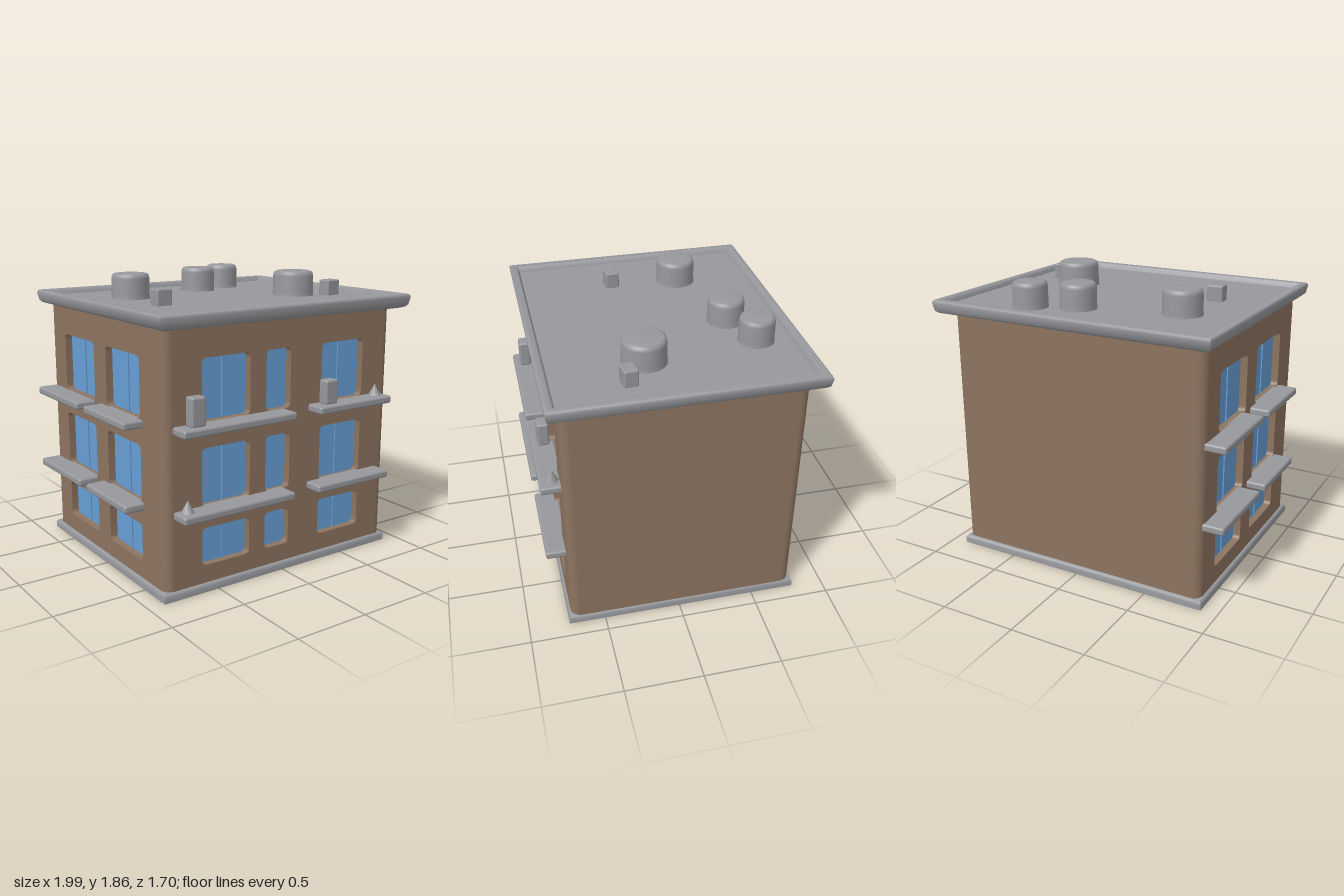
import * as THREE from 'three';
import { toCreasedNormals } from 'three/addons/utils/BufferGeometryUtils.js';
import { RoundedBoxGeometry } from 'three/addons/geometries/RoundedBoxGeometry.js';

const material = (name, color) => {
  const m = new THREE.MeshStandardMaterial({ color });
  m.name = name;
  return m;
};

// Window openings [start, end] along each wall, and the floors they repeat on
const FLOORS = [[0.17, 0.41], [0.55, 0.91], [1.07, 1.45]];
const FRONT_COLUMNS = [[-0.61, -0.26], [-0.14, 0.05], [0.3, 0.65]];
const SIDE_COLUMNS = [[-0.55, -0.13], [0.03, 0.45]];
const WALL = { x0: -0.81, x1: 0.83, z0: -0.71, z1: 0.66, y0: 0.03, y1: 1.66, t: 0.06 };

function roundedRect(path, x0, x1, y0, y1, r) {
  path.moveTo(x0 + r, y0);
  path.lineTo(x1 - r, y0);
  path.quadraticCurveTo(x1, y0, x1, y0 + r);
  path.lineTo(x1, y1 - r);
  path.quadraticCurveTo(x1, y1, x1 - r, y1);
  path.lineTo(x0 + r, y1);
  path.quadraticCurveTo(x0, y1, x0, y1 - r);
  path.lineTo(x0, y0 + r);
  path.quadraticCurveTo(x0, y0, x0 + r, y0);
  return path;
}

// Solid rectangular moulding swept through a profile of [inset, y], closed at both ends
function moulding(x0, x1, z0, z1, profile) {
  const pos = [];
  const ring = ([i, y]) => [
    [x0 + i, y, z1 - i], [x1 - i, y, z1 - i], [x1 - i, y, z0 + i], [x0 + i, y, z0 + i],
  ];
  const quad = (a, b, c, d) => pos.push(...a, ...b, ...c, ...a, ...c, ...d);
  const rings = profile.map(ring);
  for (let k = 0; k < rings.length - 1; k++) {
    for (let s = 0; s < 4; s++) {
      const n = (s + 1) % 4;
      quad(rings[k][s], rings[k][n], rings[k + 1][n], rings[k + 1][s]);
    }
  }
  const [first, last] = [rings[0], rings[rings.length - 1]];
  quad(first[3], first[2], first[1], first[0]);
  quad(...last);
  const g = new THREE.BufferGeometry();
  g.setAttribute('position', new THREE.Float32BufferAttribute(pos, 3));
  return toCreasedNormals(g, 0.8);
}

export function createModel() {
  const model = new THREE.Group();
  model.name = 'apartmentBuilding';
  const brown = material('brownWall', 0x8d7461);
  const grey = material('greyConcrete', 0x97989c);
  const blue = material('blueGlass', 0x679fd6);

  const add = (parent, name, geometry, mat, x = 0, y = 0, z = 0) => {
    const mesh = new THREE.Mesh(geometry, mat);
    mesh.name = name;
    mesh.position.set(x, y, z);
    parent.add(mesh);
    return mesh;
  };

  // One facade, drawn in its own plane facing +z, with recessed windows
  function facade(name, from, to, columns) {
    const group = new THREE.Group();
    group.name = name;
    const shape = new THREE.Shape([
      new THREE.Vector2(from, WALL.y0), new THREE.Vector2(to, WALL.y0),
      new THREE.Vector2(to, WALL.y1), new THREE.Vector2(from, WALL.y1),
    ]);
    for (const [a, b] of columns) {
      for (const [low, high] of FLOORS) {
        shape.holes.push(roundedRect(new THREE.Path(), a, b, low, high, 0.035));
        const w = b - a, h = high - low, cx = (a + b) / 2, cy = (low + high) / 2;
        add(group, 'windowGlass', new THREE.PlaneGeometry(w, h), blue, cx, cy, 0.012);
        if (w > 0.3) add(group, 'windowDivider', new THREE.BoxGeometry(0.012, h, 0.008), blue, cx, cy, 0.016);
      }
    }
    const panel = new THREE.ExtrudeGeometry(shape, { depth: WALL.t, bevelEnabled: false, curveSegments: 6 });
    add(group, 'wallPanel', toCreasedNormals(panel, 0.6), brown);
    model.add(group);
    return group;
  }

  // Walls
  const { x0, x1, z0, z1, y0, y1, t } = WALL;
  facade('frontWall', x0, x1, FRONT_COLUMNS).position.z = z1;
  const side = facade('rightWall', z0, z1, SIDE_COLUMNS);
  side.rotation.y = -Math.PI / 2;
  side.position.x = x0;
  const plain = facade('leftWall', -z1, -z0, []);
  plain.rotation.y = Math.PI / 2;
  plain.position.x = x1;
  const back = facade('backWall', -x1, -x0, []);
  back.rotation.y = Math.PI;
  back.position.z = z0;

  // Rounded corner posts
  for (const x of [x0, x1]) {
    for (const z of [z0, z1]) {
      add(model, 'cornerPost', new THREE.CylinderGeometry(t, t, y1 - y0, 24), brown, x, (y0 + y1) / 2, z);
    }
  }

  // Plinth and roof with raised rim
  add(model, 'plinth', moulding(-0.89, 0.9, -0.79, 0.737,
    [[0, 0], [0, 0.035], [0.004, 0.047], [0.014, 0.055]]), grey);
  add(model, 'roof', moulding(-0.93, 0.99, -0.85, 0.8, [
    [0.055, 1.63], [0.025, 1.64], [0.01, 1.655], [0, 1.705], [0.004, 1.719], [0.014, 1.725],
    [0.045, 1.725], [0.055, 1.718], [0.065, 1.69],
  ]), grey);

  // Balcony slabs on two floors: [x min, x max, z min, z max]
  const balconies = [
    [-0.81, 0.01, 0.69, 0.845], [0.2, 0.81, 0.69, 0.845],
    [-1, -0.84, -0.74, -0.14], [-1, -0.84, -0.05, 0.48],
  ];
  for (const y of [0.53, 1.045]) {
    for (const [a, b, c, d] of balconies) {
      add(model, 'balcony', new RoundedBoxGeometry(b - a, 0.05, d - c, 3, 0.015), grey,
        (a + b) / 2, y, (c + d) / 2);
    }
  }

  // Boxes standing on the upper balconies
  for (const [x, h] of [[-0.68, 0.18], [0.325, 0.16]]) {
    add(model, 'balconyBox', new RoundedBoxGeometry(0.1, h, 0.075, 3, 0.015), grey, x, 1.065 + h / 2, 0.765);
  }
  // Low heaps on the balconies
  for (const [x, y] of [[-0.74, 0.55], [0.73, 1.065]]) {
    add(model, 'balconyHeap', new THREE.ConeGeometry(0.045, 0.08, 8), grey, x, y + 0.04, 0.765);
  }

  // Round roof vents: [x, z, radius]
  const vents = [[-0.5, -0.3, 0.13], [0.14, -0.465, 0.12], [0.425, -0.575, 0.115], [0.52, 0.15, 0.142]];
  for (const [x, z, r] of vents) {
    const profile = [[r, 0], [r * 0.97, 0.03], [r * 0.97, 0.135], [r * 0.92, 0.158], [r * 0.8, 0.167], [0, 0.17]];
    const g = new THREE.LatheGeometry(profile.map(([a, b]) => new THREE.Vector2(a, b)), 32);
    add(model, 'roofVent', g, grey, x, 1.688, z);
  }

  // Small roof boxes
  for (const [x, z, turn] of [[-0.53, 0.145, 0.04], [0.73, 0.285, 0.1]]) {
    const box = add(model, 'roofBox', new RoundedBoxGeometry(0.11, 0.11, 0.09, 3, 0.01), grey, x, 1.738, z);
    box.rotation.y = turn;
  }
  return model;
}
